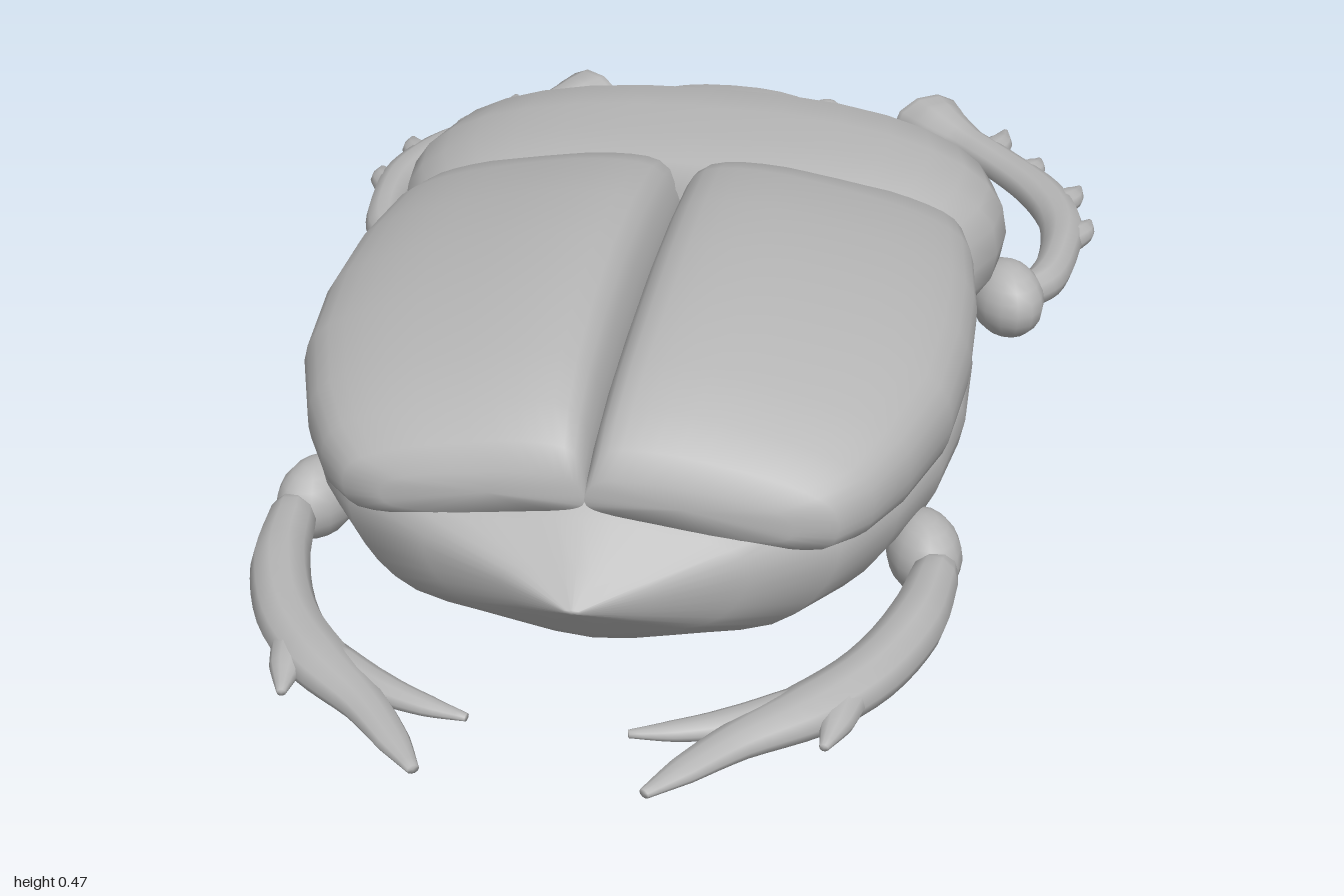
import * as THREE from 'three';

const shell = new THREE.MeshStandardMaterial({ color: 0xb6b6b6 });
shell.name = 'shell grey';

// Closed smooth skin over a list of equal rings, always wound outward
function loft(rings) {
  const n = rings[0].length, m = rings.length, pos = [], idx = [];
  rings.forEach(r => r.forEach(p => pos.push(p.x, p.y, p.z)));
  for (let i = 0; i < m - 1; i++) {
    for (let j = 0; j < n; j++) {
      const a = i * n + j, b = i * n + (j + 1) % n;
      idx.push(a, b, a + n, b, b + n, a + n);
    }
  }
  [0, m - 1].forEach((ri, k) => {
    const c = new THREE.Vector3();
    rings[ri].forEach(p => c.addScaledVector(p, 1 / n));
    pos.push(c.x, c.y, c.z);
    for (let j = 0; j < n; j++) {
      const a = ri * n + j, b = ri * n + (j + 1) % n;
      if (k) idx.push(a, b, m * n + k); else idx.push(b, a, m * n);
    }
  });
  const P = i => new THREE.Vector3().fromArray(pos, i * 3);
  let volume = 0;
  for (let i = 0; i < idx.length; i += 3) volume += P(idx[i]).dot(P(idx[i + 1]).cross(P(idx[i + 2])));
  if (volume < 0) idx.reverse();
  const g = new THREE.BufferGeometry();
  g.setAttribute('position', new THREE.Float32BufferAttribute(pos, 3));
  g.setIndex(idx);
  g.computeVertexNormals();
  return g;
}

// Smooth closed outline through a few [u, v] points
function outline(points, count) {
  const c = new THREE.CatmullRomCurve3(points.map(p => new THREE.Vector3(p[0], p[1], 0)), true, 'centripetal');
  return Array.from({ length: count }, (_, i) => c.getPoint(i / count));
}

// Sections are [z, width, top, bottom]; the outline has u as width and v as height
function sections(list, shape, side = 1, bow = () => 0) {
  return loft(list.map(([z, w, top, bot]) => shape.map(p =>
    new THREE.Vector3(side * p.x * w, bot + p.y * (top - bot), z + bow(z, p.x)))));
}

// Flat limb along points [x, z, halfWidth, halfHeight]
function limb(side, y, pts) {
  const curve = new THREE.CatmullRomCurve3(pts.map(p => new THREE.Vector3(side * p[0], y, p[1])));
  const steps = (pts.length - 1) * 4, rings = [];
  for (let i = 0; i <= steps; i++) {
    const t = i / steps, f = t * (pts.length - 1), k = Math.min(Math.floor(f), pts.length - 2);
    const c = curve.getPoint(t), d = curve.getTangent(t);
    const w = THREE.MathUtils.lerp(pts[k][2], pts[k + 1][2], f - k);
    const h = THREE.MathUtils.lerp(pts[k][3], pts[k + 1][3], f - k);
    rings.push(Array.from({ length: 10 }, (_, j) => {
      const a = j / 10 * Math.PI * 2, s = Math.cos(a) * w;
      return new THREE.Vector3(c.x - d.z * s, c.y + Math.sin(a) * h, c.z + d.x * s);
    }));
  }
  return loft(rings);
}

export function createModel() {
  const model = new THREE.Group();
  model.name = 'beetle';
  const add = (name, geometry, parent = model) => {
    const mesh = new THREE.Mesh(geometry, shell);
    mesh.name = name;
    parent.add(mesh);
    return mesh;
  };
  const knob = (name, p, r, turn = 0, parent = model) => {
    const mesh = add(name, new THREE.SphereGeometry(1, 14, 10), parent);
    mesh.position.set(...p);
    mesh.scale.set(...r);
    mesh.rotation.y = turn;
  };

  // Abdomen with a keeled belly and a pointed tail
  const half = [[0.4, 0.08], [0.75, 0.19], [0.93, 0.4], [1, 0.66], [0.9, 0.82], [0.45, 0.93]];
  const belly = [[0, 0], ...half, [0, 1], ...half.map(([u, v]) => [-u, v]).reverse()];
  add('abdomen', sections([
    [-0.22, 0.41, 0.34, 0.07], [-0.1, 0.43, 0.35, 0.045], [0.05, 0.45, 0.36, 0.02], [0.2, 0.453, 0.36, 0],
    [0.35, 0.435, 0.36, 0.022], [0.48, 0.39, 0.355, 0.045], [0.58, 0.325, 0.34, 0.07],
    [0.63, 0.215, 0.29, 0.11], [0.68, 0.1, 0.245, 0.16], [0.718, 0.01, 0.205, 0.198],
  ], outline(belly, 36)));

  // Thorax shield and head
  const oval = [];
  for (let i = 0; i < 32; i++) {
    const a = i / 32 * Math.PI * 2, c = Math.cos(a), s = Math.sin(a);
    oval.push(new THREE.Vector3(Math.sign(c) * Math.abs(c) ** 0.85, 0.5 + 0.5 * Math.sign(s) * Math.abs(s) ** 0.85, 0));
  }
  add('thorax', sections([
    [-0.17, 0.37, 0.39, 0.11], [-0.2, 0.43, 0.415, 0.085], [-0.27, 0.46, 0.42, 0.075], [-0.35, 0.468, 0.42, 0.07],
    [-0.43, 0.445, 0.415, 0.075], [-0.49, 0.385, 0.385, 0.095], [-0.525, 0.3, 0.34, 0.13], [-0.543, 0.19, 0.29, 0.18],
  ], oval, 1, (z, u) => z > -0.3 ? 0.05 * (1 - u * u) * (z + 0.3) / 0.13 : 0));
  add('head', sections([
    [-0.48, 0.165, 0.33, 0.15], [-0.56, 0.175, 0.335, 0.165], [-0.63, 0.175, 0.33, 0.17],
    [-0.68, 0.155, 0.3, 0.18], [-0.705, 0.12, 0.27, 0.195], [-0.713, 0.06, 0.25, 0.215],
  ], oval));
  knob('snout', [0, 0.21, -0.72], [0.065, 0.032, 0.038]);

  // Wing case outline, inner edge at the centre seam
  const wing = outline([[0.01, 0.42], [0.012, 0.72], [0.09, 0.97], [0.27, 1], [0.55, 0.9], [0.8, 0.75],
    [0.96, 0.56], [1, 0.26], [0.94, 0.03], [0.7, 0], [0.35, 0.15], [0.08, 0.3]], 36);

  for (const side of [1, -1]) {
    const word = side > 0 ? 'right' : 'left';
    add(word + 'WingCase', sections([
      [-0.205, 0.39, 0.385, 0.27], [-0.19, 0.415, 0.41, 0.255], [-0.1, 0.435, 0.442, 0.25], [0.05, 0.453, 0.463, 0.245],
      [0.2, 0.457, 0.47, 0.243], [0.35, 0.445, 0.462, 0.243], [0.48, 0.405, 0.443, 0.245], [0.56, 0.365, 0.415, 0.248],
      [0.605, 0.325, 0.38, 0.255], [0.625, 0.27, 0.345, 0.275],
    ], wing, side));

    // Eyes, feelers and mouth parts
    knob('eye', [side * 0.155, 0.285, -0.615], [0.032, 0.036, 0.04]);
    knob('feeler', [side * 0.2, 0.213, -0.625], [0.029, 0.03, 0.073], side * 0.12);
    knob('mouthPart', [side * 0.125, 0.21, -0.717], [0.03, 0.032, 0.036]);

    // Front leg with a spiny outer edge and broad foot
    const front = new THREE.Group();
    front.name = word + 'FrontLeg';
    model.add(front);
    knob('frontJoint', [side * 0.475, 0.14, -0.335], [0.055, 0.06, 0.072], side * 0.5, front);
    add('frontShin', limb(side, 0.14, [
      [0.5, -0.35, 0.025, 0.028], [0.53, -0.4, 0.03, 0.03], [0.546, -0.5, 0.031, 0.032], [0.542, -0.6, 0.036, 0.03],
      [0.505, -0.7, 0.038, 0.028], [0.44, -0.79, 0.035, 0.026], [0.37, -0.865, 0.035, 0.03],
      [0.315, -0.92, 0.055, 0.047], [0.29, -0.955, 0.065, 0.048], [0.28, -0.97, 0.045, 0.025],
    ]), front);
    for (const [x0, z0, x1, z1] of [[0.55, -0.54, 0.588, -0.615], [0.525, -0.66, 0.565, -0.735],
      [0.46, -0.76, 0.493, -0.83], [0.4, -0.83, 0.428, -0.932]]) {
      add('spine', limb(side, 0.14, [[x0, z0, 0.03, 0.024],
        [(x0 + x1) / 2 + 0.008, (z0 + z1) / 2, 0.022, 0.018], [x1, z1, 0.005, 0.005]]), front);
    }

    // Hind leg ending in a fork
    const hind = new THREE.Group();
    hind.name = word + 'HindLeg';
    model.add(hind);
    knob('hindJoint', [side * 0.42, 0.14, 0.405], [0.05, 0.058, 0.07], side * 0.4, hind);
    add('hindShin', limb(side, 0.14, [
      [0.447, 0.435, 0.022, 0.025], [0.44, 0.47, 0.033, 0.037], [0.425, 0.58, 0.04, 0.04], [0.38, 0.7, 0.042, 0.035],
      [0.315, 0.79, 0.043, 0.03], [0.235, 0.87, 0.03, 0.02], [0.18, 0.94, 0.022, 0.013], [0.142, 0.992, 0.008, 0.006],
    ]), hind);
    add('innerToe', limb(side, 0.14, [[0.3, 0.78, 0.025, 0.022], [0.22, 0.835, 0.023, 0.018],
      [0.155, 0.862, 0.016, 0.012], [0.102, 0.877, 0.006, 0.005]]), hind);
    add('outerSpur', limb(side, 0.14, [[0.36, 0.74, 0.03, 0.026], [0.352, 0.81, 0.022, 0.018],
      [0.343, 0.865, 0.006, 0.005]]), hind);
  }
  return model;
}
